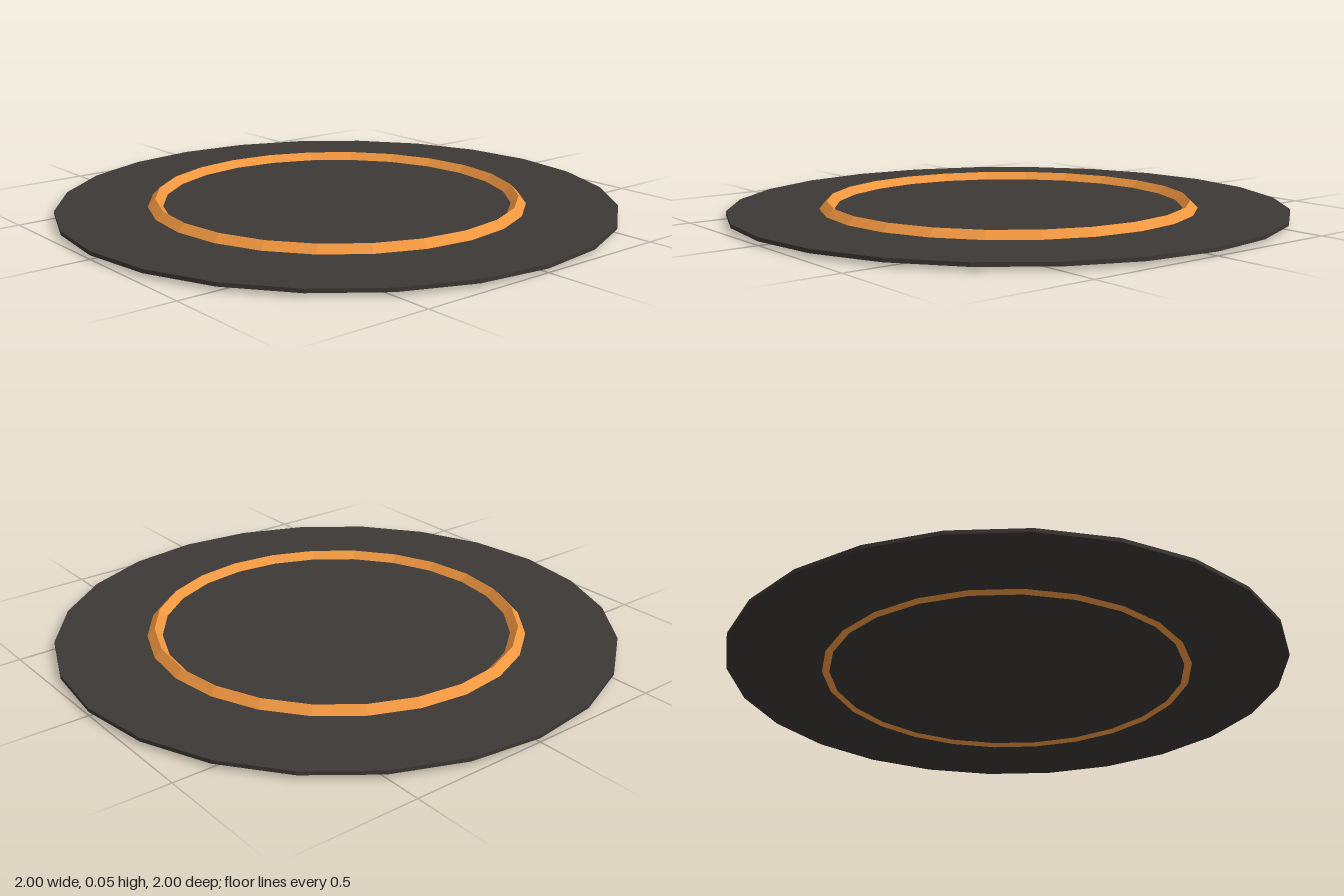
import * as THREE from 'three';

const SIDES = 24;

function addPart(group, name, geometry, color, y) {
  const material = new THREE.MeshStandardMaterial({ color, flatShading: true });
  const mesh = new THREE.Mesh(geometry, material);
  mesh.name = name;
  mesh.position.y = y;
  group.add(mesh);
}

export function createModel() {
  const group = new THREE.Group();
  group.name = 'ringedDisc';

  // Thin dark plate
  addPart(group, 'disc', new THREE.CylinderGeometry(1, 1, 0.0134, SIDES), 0x3d3935, 0.02);

  // Diamond-section ring, passing through the plate
  const ring = new THREE.TorusGeometry(0.65, 0.027, 4, SIDES);
  ring.rotateX(-Math.PI / 2);
  addPart(group, 'ring', ring, 0xf0963f, 0.027);

  return group;
}
